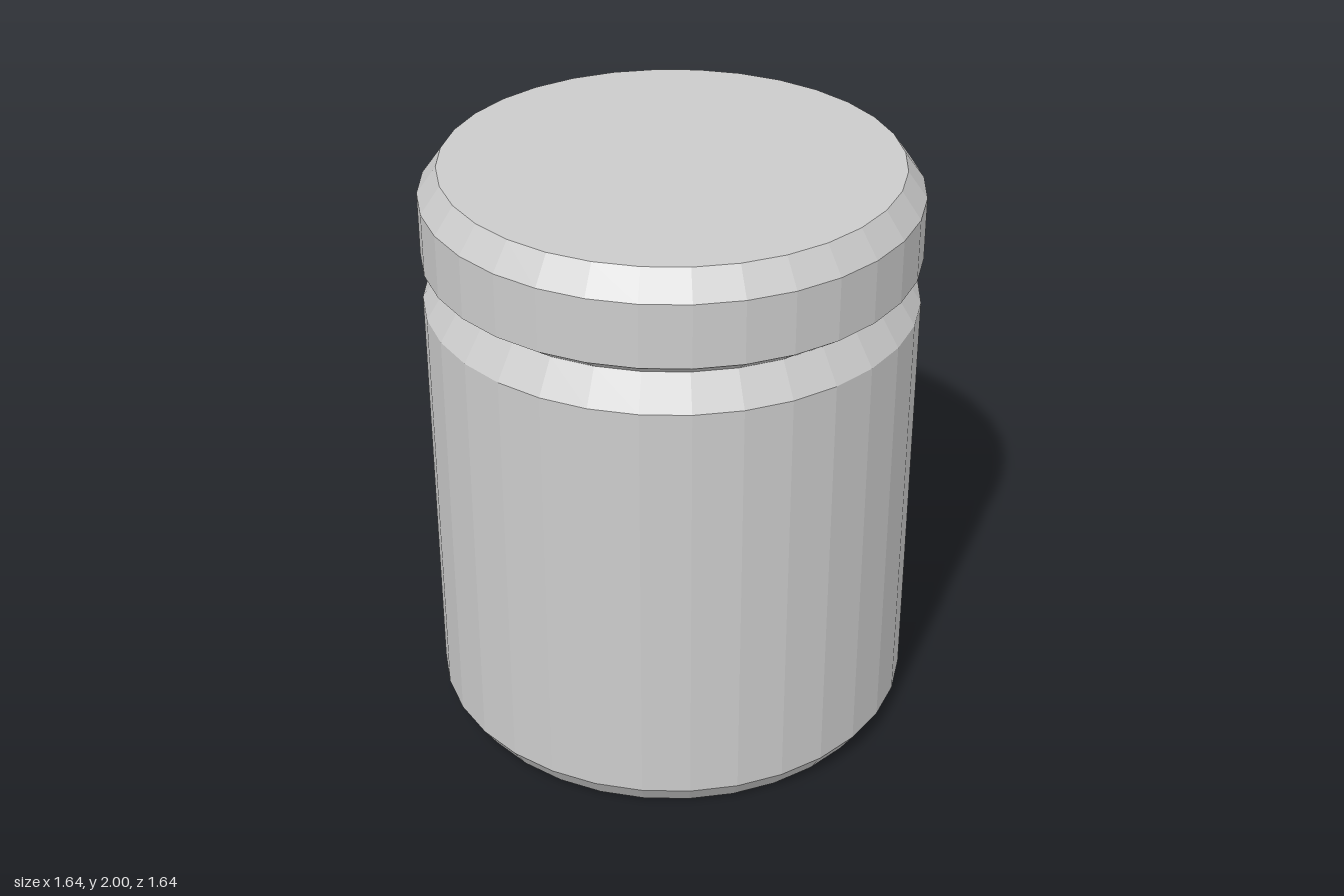
import * as THREE from 'three';

const SIDES = 32;

// Faceted solid of revolution from [radius, height] pairs, bottom to top
function turned(name, profile, material) {
  const points = profile.map(([r, y]) => new THREE.Vector2(r, y));
  const mesh = new THREE.Mesh(new THREE.LatheGeometry(points, SIDES), material);
  mesh.name = name;
  return mesh;
}

export function createModel() {
  const group = new THREE.Group();
  group.name = 'jar';
  const material = new THREE.MeshStandardMaterial({ color: 0xcccccc, flatShading: true });

  // Body with chamfered base and sloping shoulder
  group.add(turned('body', [
    [0, 0], [0.77, 0], [0.82, 0.075], [0.82, 1.535], [0.75, 1.645],
  ], material));

  // Lid flaring out from the neck, with a bevelled top edge
  group.add(turned('lid', [
    [0.75, 1.645], [0.82, 1.695], [0.82, 1.91], [0.755, 2], [0, 2],
  ], material));

  return group;
}
